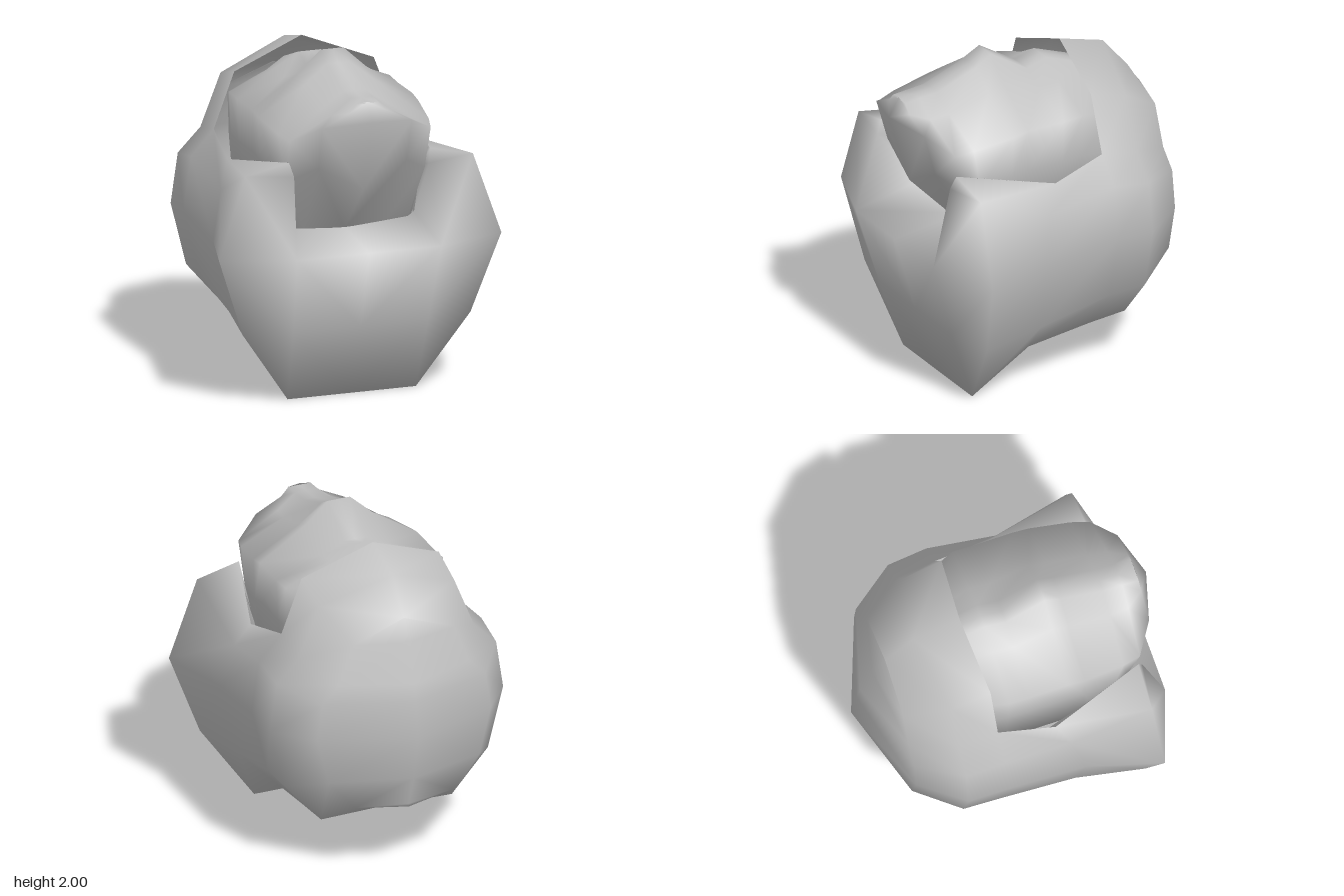
import * as THREE from 'three';
import { mergeVertices } from 'three/addons/utils/BufferGeometryUtils.js';

const grey = new THREE.MeshStandardMaterial({ color: 0xc0c0c0, side: THREE.DoubleSide });
grey.name = 'plain grey';

// Skins patches of half cross-sections (each from bottom to top on +x), mirrors them and
// welds them smooth. Rows may differ in length; the surface stays open past the shorter one.
function skin(name, ...patches) {
  const pos = [];
  const tri = (a, b, c, s) => {
    const [A, B, C] = [a, b, c].map(p => new THREE.Vector3(p[0] * s, p[1], p[2]));
    const area = B.clone().sub(A).cross(C.clone().sub(A)).length();
    if (area < 1e-6) return;
    for (const v of s > 0 ? [A, B, C] : [A, C, B]) pos.push(v.x, v.y, v.z);
  };
  for (const rows of patches) for (const s of [1, -1]) {
    for (let i = 0; i < rows.length - 1; i++) {
      const r = rows[i], q = rows[i + 1];
      for (let j = 0; j < Math.min(r.length, q.length) - 1; j++) {
        tri(r[j], q[j], q[j + 1], s);
        tri(r[j], q[j + 1], r[j + 1], s);
      }
    }
  }
  const flat = new THREE.BufferGeometry();
  flat.setAttribute('position', new THREE.Float32BufferAttribute(pos, 3));
  const geo = mergeVertices(flat, 1e-4);
  geo.computeVertexNormals();
  const mesh = new THREE.Mesh(geo, grey);
  mesh.name = name;
  return mesh;
}

// Closed hood ring: one rounded outline scaled to half width and height range
const ringX = [0, 0.56, 0.87, 1, 0.94, 0.75, 0.58, 0];
const ringY = [0, 0.015, 0.18, 0.42, 0.61, 0.7, 0.9, 1];
const hoodRing = (width, low, high, zAt) =>
  ringX.map((x, j) => [x * width, low + ringY[j] * (high - low), zAt(j)]);

// Head section: flat base, upright sides, shoulder and crest; lower points curl back
function headSection(z, top, width, side, curl) {
  const outline = [
    [0, 0.96], [width * 0.9, 0.98], [width * 0.98, side - 0.26], [width, side],
    [width * 0.42, side + (top - side) * 0.6], [0.07, top], [0, top],
  ];
  return outline.map(([x, y]) => [x, y, z - curl * (top - y) ** 2]);
}

export function createModel() {
  const group = new THREE.Group();
  group.name = 'hoodedHead';

  // Outer shell: notched front and side flaps, open on top
  const notchEdge = [[0.45, 0.92, 0.87], [0.42, 1.39, 0.74], [0.44, 1.47, 0.71]];
  const sideRim = [0.61, 1.36, 0.14];
  const front = [
    [[0, 0, 0.58], [0, 0, 0.58], [0, 0.44, 0.73], [0, 0.92, 0.87]],
    [[0, 0, 0.58], [0.4, 0, 0.58], [0.42, 0.44, 0.73], ...notchEdge],
    [[0, 0, 0.58], [0.4, 0, 0.58], [0.71, 0.44, 0.66], [0.88, 0.92, 0.72], [0.71, 1.41, 0.7], notchEdge[2]],
    [[0, 0.22, 0.2], [0.4, 0.23, 0.2], [0.64, 0.47, 0.25], [0.75, 0.92, 0.28], [0.68, 1.2, 0.22], sideRim],
  ];
  // Rounded hood, closing on a spine down the back
  const spineZ = [-0.77, -0.77, -0.84, -0.91, -0.875, -0.855, -0.78, -0.69];
  const hood = [
    hoodRing(0.75, 0.27, 1.95, j => (j === 7 ? -0.24 : -0.2)),
    hoodRing(0.74, 0.29, 1.87, j => (j === 0 ? -0.38 : j === 7 ? -0.53 : -0.44)),
    hoodRing(0.55, 0.47, 1.67, j => (j === 0 ? -0.77 : -0.7)),
    hoodRing(0, 0.47, 1.67, j => spineZ[j]),
  ];
  // The notch turns smoothly inward as a ledge below and a wall on each side
  const ledge = [
    [[0, 0.98, 0.42], [0.45, 1.01, 0.42]],
    [[0, 0.92, 0.87], notchEdge[0]],
  ];
  const notchWall = [
    [[0.45, 1.01, 0.42], [0.48, 1.3, 0.45], [0.52, 1.42, 0.45]],
    notchEdge,
  ];
  group.add(skin('hoodShell', [...front, ...hood], ledge, notchWall));

  // Steep inside faces between the open rim and the head
  group.add(skin('innerRim', [
    [[0.46, 1.05, -0.25], hood[0][5]],
    [[0.48, 1, 0.14], sideRim],
    [[0.45, 1.01, 0.42], [0.52, 1.42, 0.45]],
  ]));

  // Inner head: rounded face in front, small crest on top
  const faceLine = [[0.96, 0.46], [0.96, 0.46], [1.28, 0.77], [1.72, 0.91], [1.83, 0.84], [1.83, 0.84], [1.83, 0.84]];
  group.add(skin('innerHead', [
    faceLine.map(([y, z]) => [0, y, z]),
    headSection(0.84, 1.82, 0.28, 1.69, 0.54),
    headSection(0.74, 1.83, 0.44, 1.6, 0.4),
    headSection(0.62, 1.84, 0.47, 1.62, 0.26),
    headSection(0.36, 1.94, 0.5, 1.66, 0),
    headSection(0.26, 2, 0.5, 1.68, 0),
    headSection(0.02, 1.85, 0.5, 1.68, 0),
    headSection(-0.11, 1.89, 0.5, 1.69, 0),
    headSection(-0.35, 1.8, 0.42, 1.62, 0),
  ]));

  return group;
}
